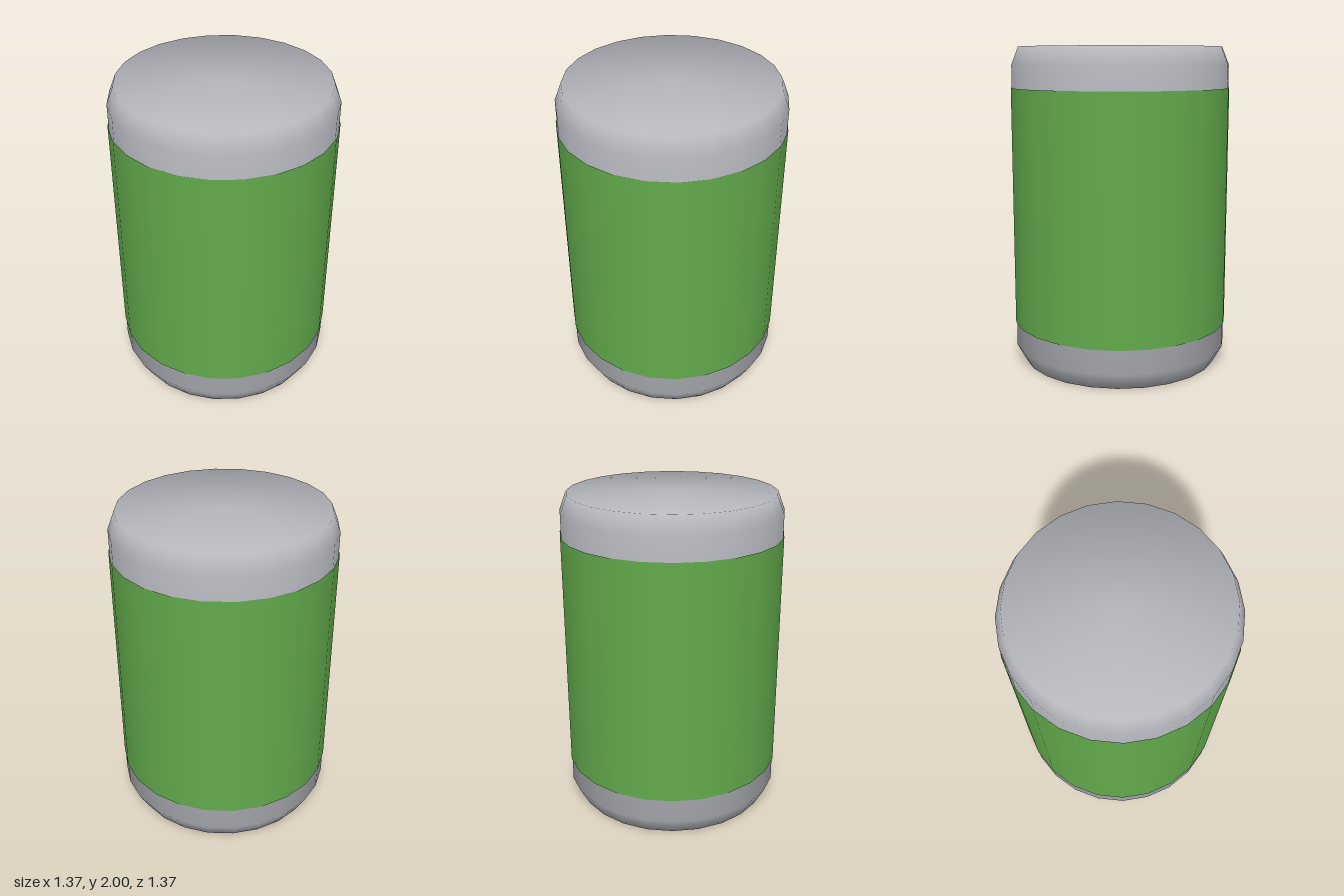
import * as THREE from 'three';

const SIDES = 24;

// Lathe whose normals are an even average of neighbouring profile segments
function softLathe(profile, material) {
  const pts = profile.map(([r, y]) => new THREE.Vector2(r, y));
  const geo = new THREE.LatheGeometry(pts, SIDES);
  const segs = pts.slice(1).map((p, i) => {
    const d = p.clone().sub(pts[i]);
    return new THREE.Vector2(d.y, -d.x).normalize();
  });
  const normal = geo.attributes.normal;
  for (let i = 0; i <= SIDES; i++) {
    const a = (i / SIDES) * Math.PI * 2;
    pts.forEach((p, j) => {
      const n = new THREE.Vector2();
      if (j > 0) n.add(segs[j - 1]);
      if (j < segs.length) n.add(segs[j]);
      n.normalize();
      normal.setXYZ(i * pts.length + j, n.x * Math.sin(a), n.y, n.x * Math.cos(a));
    });
  }
  return new THREE.Mesh(geo, material);
}

export function createModel() {
  const metal = new THREE.MeshStandardMaterial({ color: 0xb4b6bc });
  metal.name = 'grey metal';
  const green = new THREE.MeshStandardMaterial({ color: 0x62aa4c, side: THREE.DoubleSide });
  green.name = 'green label';

  const group = new THREE.Group();
  group.name = 'can';

  // Closed metal body with bevelled top and bottom rims
  const body = softLathe(
    [[0, 0], [0.62, 0], [0.68, 0.11], [0.68, 1.89], [0.637, 2], [0, 2]],
    metal
  );
  body.name = 'canBody';
  group.add(body);

  // Thin label wrapped around the middle
  const label = new THREE.Mesh(
    new THREE.CylinderGeometry(0.686, 0.686, 1.49, SIDES, 1, true),
    green
  );
  label.name = 'labelBand';
  label.position.y = 1.005;
  group.add(label);

  return group;
}
